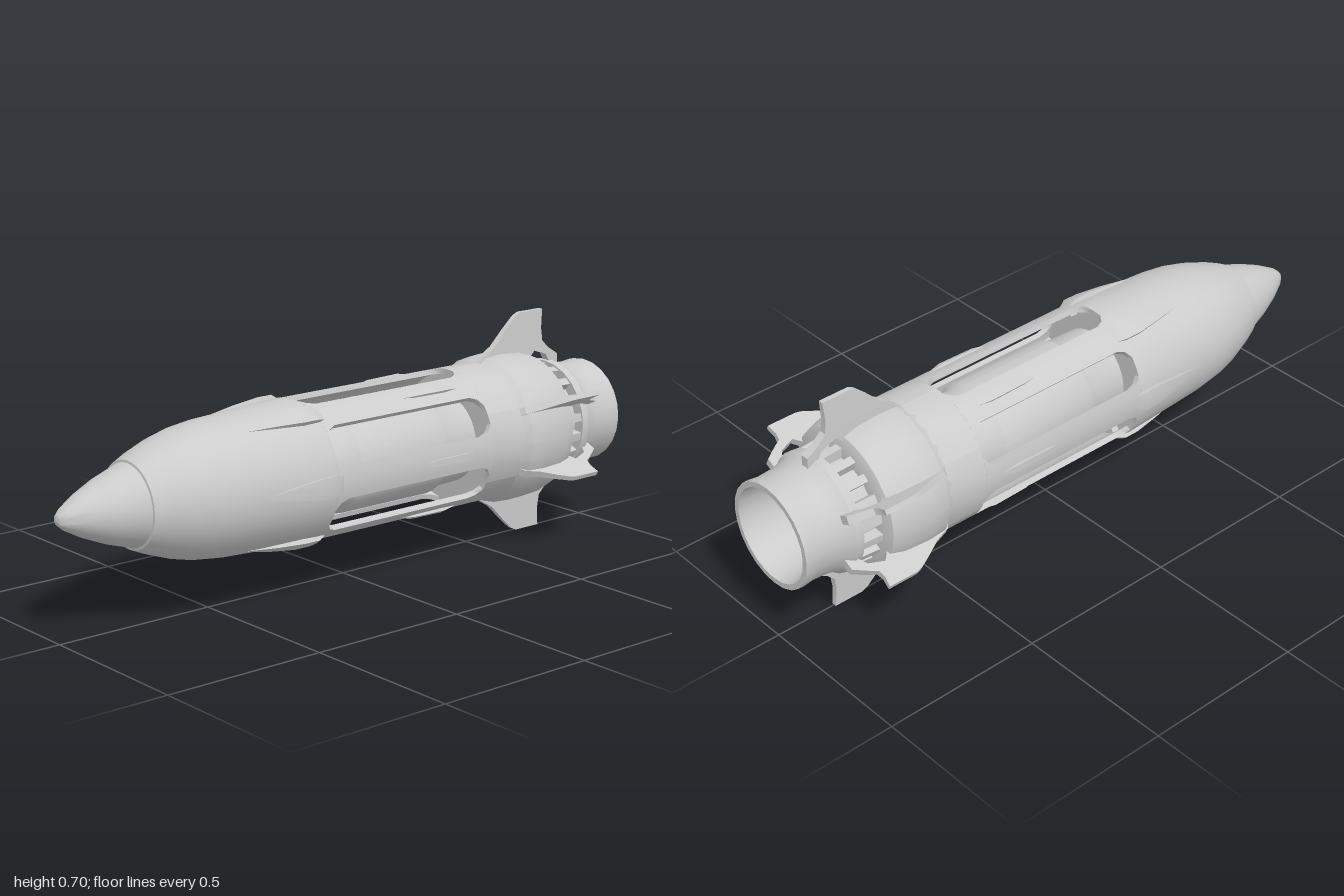
import * as THREE from 'three';
import { toCreasedNormals } from 'three/addons/utils/BufferGeometryUtils.js';

const RAD = Math.PI / 180;
const material = new THREE.MeshStandardMaterial({ color: 0xcccccc, side: THREE.DoubleSide });

function add(parent, name, geometry, crease = 0.6) {
  const mesh = new THREE.Mesh(toCreasedNormals(geometry, crease), material);
  mesh.name = name;
  parent.add(mesh);
  return mesh;
}

// Turned part around the x axis from [x, radius] points
function turned(points, sides = 32) {
  const g = new THREE.LatheGeometry(points.map(([x, r]) => new THREE.Vector2(r, x)), sides);
  return g.rotateZ(-Math.PI / 2);
}

// Curved block around the x axis: stations are [x, halfAngle, innerRadius, outerRadius];
// angle 0 points to +z and 90 points up
function curvedBlock(centre, stations, steps = 6) {
  const pos = [], index = [], ring = 2 * (steps + 1);
  for (const [x, half, rIn, rOut] of stations) {
    for (let k = 0; k < ring; k++) {
      const outer = k <= steps;
      const t = outer ? k / steps : (ring - 1 - k) / steps;
      const a = (centre + half * (2 * t - 1)) * RAD, r = outer ? rOut : rIn;
      pos.push(x, r * Math.sin(a), r * Math.cos(a));
    }
  }
  for (let i = 0; i < stations.length - 1; i++) {
    for (let k = 0; k < ring; k++) {
      const p = i * ring + k, s = i * ring + (k + 1) % ring;
      index.push(p, p + ring, s, s, p + ring, s + ring);
    }
  }
  // End caps
  const last = (stations.length - 1) * ring;
  for (let k = 0; k < steps; k++) {
    const a = k, b = k + 1, c = ring - 2 - k, d = ring - 1 - k;
    index.push(a, b, c, a, c, d);
    index.push(last + a, last + c, last + b, last + a, last + d, last + c);
  }
  const g = new THREE.BufferGeometry();
  g.setAttribute('position', new THREE.Float32BufferAttribute(pos, 3));
  g.setIndex(index);
  return g;
}

// Swept fin, thicker at the root; reach scales how far it stands out
function finGeometry(angle, reach) {
  const outline = [[0.53, 0.2], [0.55, 0.225], [0.6, 0.255], [0.65, 0.305], [0.69, 0.341], [0.71, 0.35],
    [0.805, 0.35], [0.8, 0.29], [0.805, 0.25], [0.83, 0.225], [0.87, 0.2], [0.87, 0.16],
    [0.84, 0.17], [0.82, 0.205], [0.77, 0.222], [0.74, 0.19]];
  const shape = new THREE.Shape(outline.map(([x, r]) =>
    new THREE.Vector2(x, r > 0.225 ? 0.225 + (r - 0.225) * reach : r)));
  const g = new THREE.ExtrudeGeometry(shape, { depth: 1, bevelEnabled: false });
  g.translate(0, 0, -0.5);
  const p = g.attributes.position;
  for (let i = 0; i < p.count; i++) {
    const t = THREE.MathUtils.clamp((p.getY(i) - 0.2) / (0.15 * reach), 0, 1);
    p.setZ(i, p.getZ(i) * THREE.MathUtils.lerp(0.026, 0.015, t));
  }
  return g.rotateX((90 - angle) * RAD);
}

export function createModel() {
  const model = new THREE.Group();
  const rocket = new THREE.Group();
  rocket.name = 'rocket';
  rocket.position.y = 0.35;
  model.add(rocket);

  // Nose and forward hull
  add(rocket, 'noseCone', turned([[-1, 0], [-0.995, 0.016], [-0.975, 0.033], [-0.92, 0.063],
    [-0.85, 0.093], [-0.76, 0.122], [-0.76, 0.1]]));
  add(rocket, 'forwardHull', turned([[-0.77, 0.1], [-0.765, 0.127], [-0.72, 0.147], [-0.65, 0.172],
    [-0.58, 0.189], [-0.5, 0.199], [-0.4, 0.204], [-0.3, 0.209], [-0.2, 0.214], [-0.19, 0.212], [-0.19, 0.13]]));

  // Core seen through the side openings
  add(rocket, 'innerCore', turned([[-0.2, 0.135], [-0.07, 0.14], [-0.05, 0.153], [0.28, 0.153],
    [0.3, 0.14], [0.42, 0.135]]));

  // Six cage panels leave six long chamfered openings between them
  const openings = [[-0.2, 0], [-0.19, 0], [-0.19, 8], [-0.175, 14], [-0.15, 17], [0.37, 17],
    [0.395, 14], [0.41, 8], [0.41, 0], [0.55, 0]];
  for (let i = 0; i < 6; i++) {
    const a = i * 60;
    add(rocket, 'cagePanel', curvedBlock(a, openings.map(([x, w]) => [x, 30 - w, 0.195, 0.212])));
    // Wedge fairing ahead of each panel
    add(rocket, 'fairing', curvedBlock(a, [[-0.44, 1, 0.18, 0.201], [-0.34, 5, 0.18, 0.216],
      [-0.25, 8, 0.18, 0.226], [-0.2, 8, 0.18, 0.226], [-0.17, 6, 0.18, 0.211]]));
    // Slim raised vent on each panel
    add(rocket, 'vent', curvedBlock(a, [[0.13, 0.4, 0.2, 0.21], [0.18, 2.5, 0.2, 0.219],
      [0.3, 3, 0.2, 0.221], [0.36, 1, 0.2, 0.21]], 3));
  }
  add(rocket, 'cageBulkhead', turned([[0.41, 0.12], [0.41, 0.2]]));

  // Flared tail collar
  add(rocket, 'tailCollar', turned([[0.5, 0.208], [0.54, 0.213], [0.56, 0.228], [0.62, 0.232],
    [0.7, 0.227], [0.745, 0.214], [0.755, 0.19], [0.755, 0.14]], 24));

  // Ribbed gap between collar and nozzle
  add(rocket, 'tailCore', turned([[0.74, 0.148], [0.84, 0.148]], 24));
  for (let i = 0; i < 18; i++) {
    add(rocket, 'rib', curvedBlock(i * 20 + 10, [[0.745, 4, 0.14, 0.182], [0.83, 4, 0.14, 0.176]], 2));
  }

  // Open nozzle with a flange and a hollow bell
  add(rocket, 'nozzle', turned([[0.82, 0.14], [0.82, 0.183], [0.845, 0.184], [0.865, 0.17],
    [0.9, 0.162], [0.95, 0.159], [0.985, 0.163], [1, 0.162], [1, 0.145], [0.96, 0.14],
    [0.88, 0.128], [0.82, 0.105], [0.81, 0]], 24));

  // Two tall fins, four short side fins
  for (const [angle, reach] of [[90, 1], [270, 1], [26, 0.54], [154, 0.54], [206, 0.54], [334, 0.54]]) {
    add(rocket, reach === 1 ? 'tallFin' : 'sideFin', finGeometry(angle, reach), 0.4);
  }
  return model;
}
